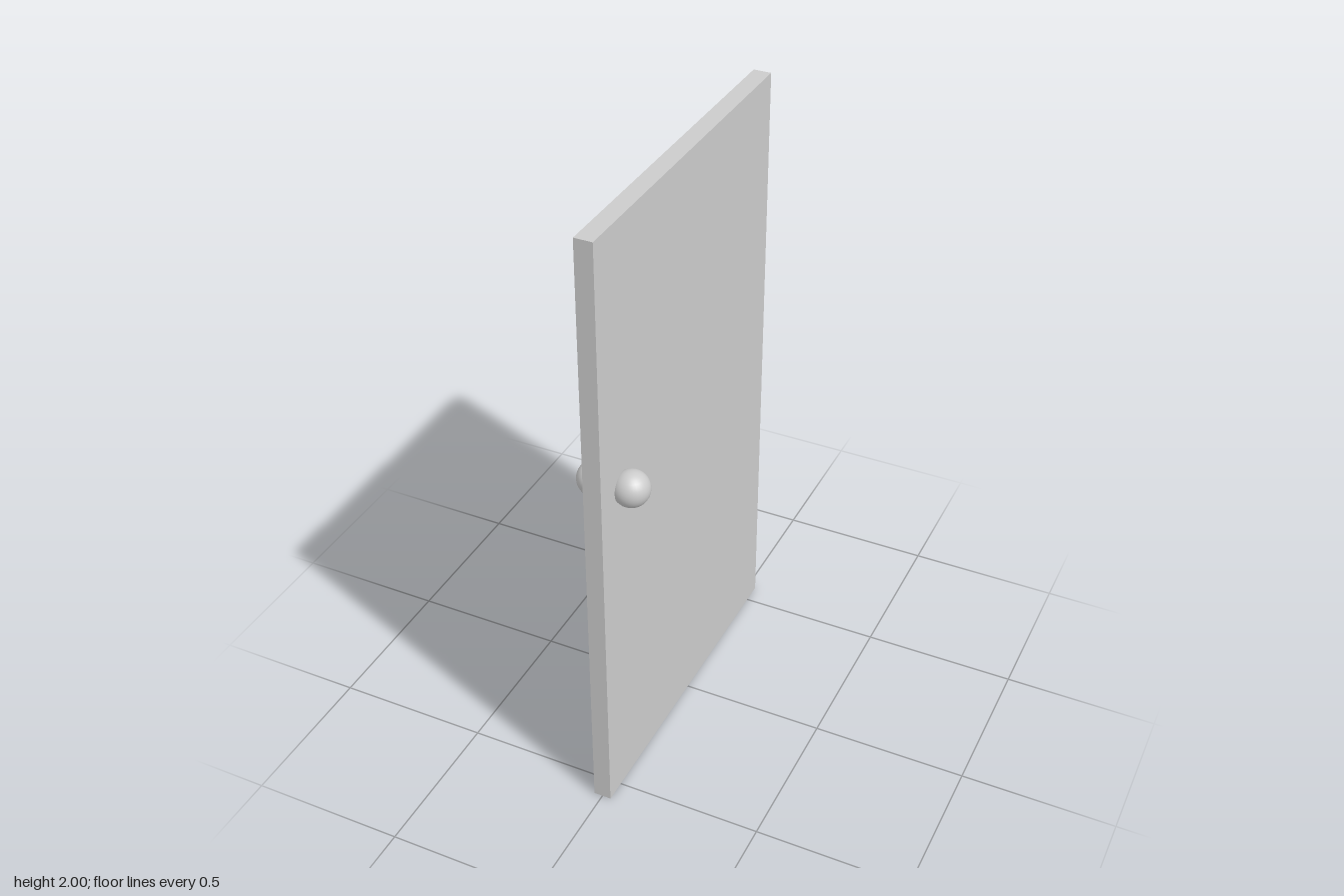
import * as THREE from 'three';

export function createModel() {
  const group = new THREE.Group();
  const material = new THREE.MeshStandardMaterial({ color: 0xcccccc });

  // Door slab standing on the ground, its broad faces to the left and right
  const thickness = 0.057;
  const panel = new THREE.Mesh(new THREE.BoxGeometry(thickness, 2, 1.143), material);
  panel.name = 'doorPanel';
  panel.position.y = 1;
  group.add(panel);

  // A round knob on each face, partly sunk into the slab
  const knobGeometry = new THREE.SphereGeometry(0.057, 32, 16);
  for (const side of [1, -1]) {
    const knob = new THREE.Mesh(knobGeometry, material);
    knob.name = side > 0 ? 'leftKnob' : 'rightKnob';
    knob.position.set(side * 0.057, 1.147, 0.441);
    group.add(knob);
  }

  return group;
}
